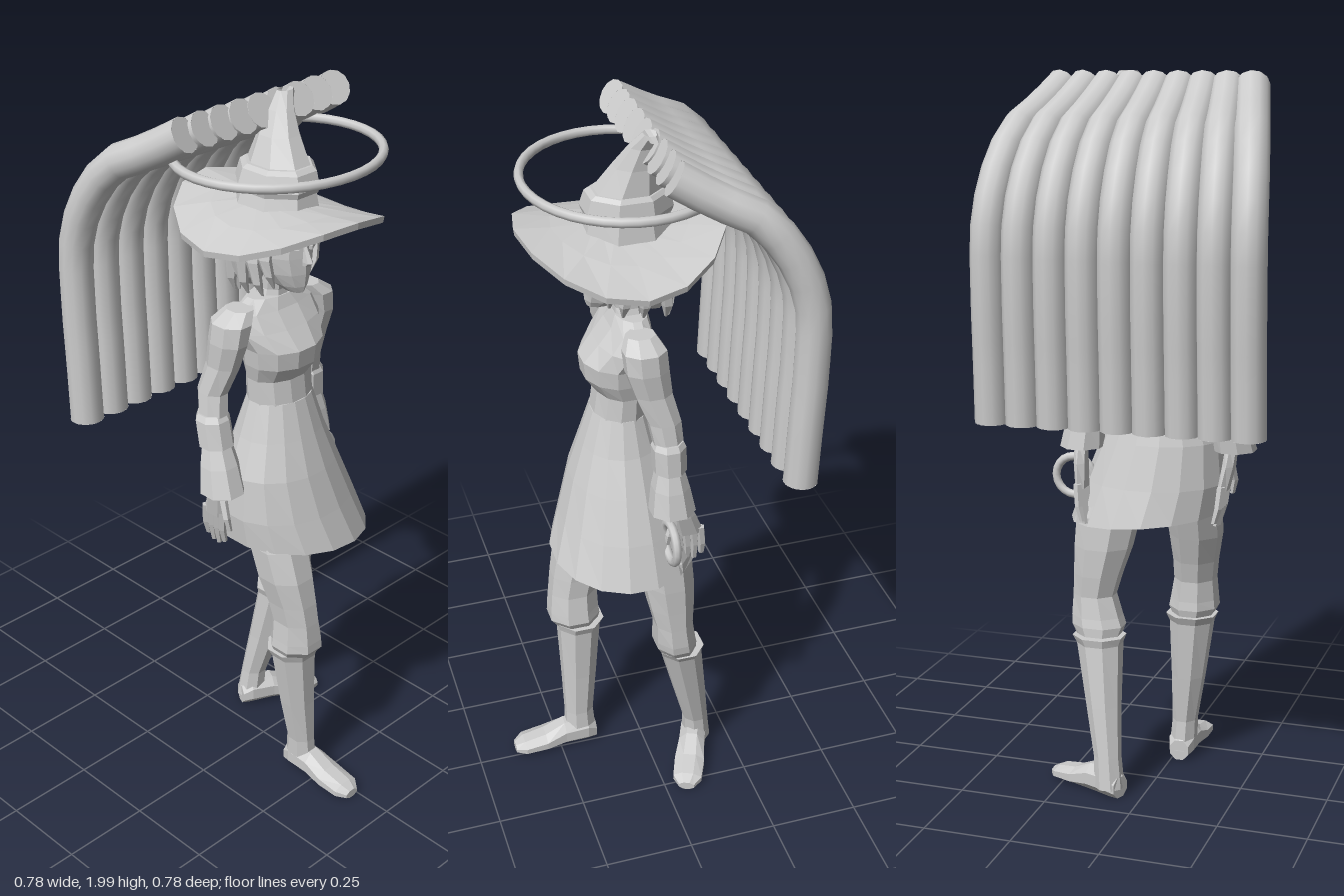
import * as THREE from 'three';

export function createModel() {
  const model = new THREE.Group();
  const clay = new THREE.MeshStandardMaterial({ color: 0xcccccc, side: THREE.DoubleSide });
  clay.name = 'light grey';

  const add = (name, geo, parent = model) => {
    const m = new THREE.Mesh(geo, clay);
    m.name = name;
    parent.add(m);
    return m;
  };
  const faceted = (geo) => {
    const g = geo.index ? geo.toNonIndexed() : geo;
    g.computeVertexNormals();
    return g;
  };

  // Faceted skin over elliptical rings [x, y, z, rx, rz], listed from top to bottom
  function loft(rings, sides = 8, capBottom = true) {
    const pos = [], idx = [];
    for (const [x, y, z, rx, rz] of rings) {
      for (let j = 0; j < sides; j++) {
        const a = ((j + 0.5) / sides) * Math.PI * 2;
        pos.push(x + Math.cos(a) * rx, y, z + Math.sin(a) * rz);
      }
    }
    for (let i = 0; i < rings.length - 1; i++) {
      for (let j = 0; j < sides; j++) {
        const k = (j + 1) % sides;
        const a = i * sides + j, b = i * sides + k, c = a + sides, d = b + sides;
        idx.push(a, b, c, b, d, c);
      }
    }
    const cap = (i, top) => {
      const centre = pos.length / 3;
      pos.push(...rings[i].slice(0, 3));
      for (let j = 0; j < sides; j++) {
        const a = i * sides + j, b = i * sides + ((j + 1) % sides);
        idx.push(centre, ...(top ? [b, a] : [a, b]));
      }
    };
    cap(0, true);
    if (capBottom) cap(rings.length - 1, false);
    const g = new THREE.BufferGeometry();
    g.setAttribute('position', new THREE.Float32BufferAttribute(pos, 3));
    g.setIndex(idx);
    return faceted(g);
  }
  const mirror = (rings, s) => rings.map(([x, ...rest]) => [s * x, ...rest]);

  // Fan of nine thick curved tubes behind the figure: [spacing, y, z] along each tube
  const tubes = new THREE.Group();
  tubes.name = 'backTubes';
  model.add(tubes);
  const arc = [[0.065, 1.957, -0.004], [0.0715, 1.897, -0.105], [0.078, 1.845, -0.207], [0.083, 1.745, -0.287],
    [0.0855, 1.62, -0.335], [0.086, 1.44, -0.342], [0.0862, 1.27, -0.336], [0.0865, 1.1, -0.33]];
  for (let i = -4; i <= 4; i++) {
    const curve = new THREE.CatmullRomCurve3(arc.map(([x, y, z]) => new THREE.Vector3(i * x, y, z)));
    add('tube', new THREE.TubeGeometry(curve, 14, 0.046, 12), tubes);
    for (const t of [0, 1]) {
      const end = add('tubeEnd', new THREE.CircleGeometry(0.046, 12), tubes);
      end.position.copy(curve.getPoint(t));
      const dir = curve.getTangent(t).multiplyScalar(t ? 1 : -1);
      end.lookAt(end.position.clone().add(dir));
    }
  }

  // Halo
  const halo = add('halo', new THREE.TorusGeometry(0.276, 0.013, 8, 40));
  halo.rotation.x = Math.PI / 2;
  halo.scale.y = 0.905;
  halo.position.set(0.002, 1.865, 0.049);

  // Hat: saddle-shaped brim, then a bent crown with a band
  const brim = new THREE.LatheGeometry(
    [[0.3, -0.014], [0.65, -0.014], [0.99, -0.014], [1, 0.004], [0.65, 0.006], [0.3, 0.01]].map((p) => new THREE.Vector2(...p)), 16);
  const bp = brim.attributes.position;
  for (let i = 0; i < bp.count; i++) {
    const u = bp.getX(i), v = bp.getZ(i);
    bp.setXYZ(i, u * 0.262, 1.73 + bp.getY(i) - 0.072 * u * u + 0.02 * v * v - 0.016 * u, 0.055 + v * 0.27);
  }
  add('hatBrim', faceted(brim));
  add('hatCrown', loft([
    [0.1, 1.98, -0.008, 0.012, 0.014], [0.078, 1.995, -0.002, 0.025, 0.018], [0.052, 1.955, 0.01, 0.034, 0.034],
    [0.032, 1.9, 0.022, 0.052, 0.058], [0.018, 1.835, 0.036, 0.072, 0.09], [0.012, 1.8, 0.038, 0.083, 0.105],
    [0.006, 1.71, 0.038, 0.106, 0.128]], 8));
  add('hatBand', loft([
    [0.016, 1.835, 0.037, 0.08, 0.096], [0.014, 1.825, 0.037, 0.09, 0.11],
    [0.01, 1.785, 0.038, 0.1, 0.121], [0.01, 1.77, 0.038, 0.096, 0.116]], 8));

  // Head, nose, eyes and neck
  add('head', loft([
    [0, 1.73, 0.05, 0.06, 0.075], [0, 1.67, 0.055, 0.074, 0.094], [0, 1.61, 0.058, 0.073, 0.094],
    [0, 1.565, 0.07, 0.06, 0.082], [0, 1.53, 0.09, 0.038, 0.058], [0, 1.512, 0.108, 0.02, 0.034]], 10));
  add('nose', loft([
    [0, 1.64, 0.146, 0.007, 0.008], [0, 1.6, 0.158, 0.011, 0.018], [0, 1.59, 0.152, 0.01, 0.01]], 6));
  for (const s of [1, -1]) {
    const eye = add('eye', new THREE.BoxGeometry(0.026, 0.01, 0.009));
    eye.position.set(s * 0.033, 1.632, 0.141);
    eye.rotation.set(0, s * 0.45, s * 0.15);
  }
  add('neck', loft([
    [0, 1.56, 0.04, 0.038, 0.042], [0, 1.5, 0.03, 0.036, 0.042], [0, 1.45, 0.03, 0.055, 0.048]], 8));

  // Bobbed hair with loose locks
  add('hairBack', loft([
    [0, 1.74, 0.02, 0.08, 0.085], [0, 1.66, 0.0, 0.09, 0.09], [0, 1.58, -0.012, 0.088, 0.078],
    [0, 1.53, -0.022, 0.072, 0.06], [0, 1.5, -0.03, 0.05, 0.03]], 10));
  const locks = [[0.068, 0.118, 1.63, -0.012], [0.088, 0.09, 1.53, 0.01], [0.095, 0.055, 1.5, 0.01],
    [0.092, 0.01, 1.49, 0], [0.07, -0.045, 1.475, -0.01], [0.026, -0.072, 1.46, 0]];
  for (const s of [1, -1]) {
    for (const [x, z, tip, drift] of locks) {
      add('hairLock', loft(mirror([
        [x * 0.8, 1.71, z, 0.018, 0.022], [x, (1.7 + tip) / 2, z, 0.016, 0.024],
        [x * 0.92, tip + 0.04, z + drift, 0.013, 0.016], [x * 0.72, tip, z + drift, 0.003, 0.004]], s), 5));
    }
  }

  // Bodice with a full chest above a narrow waist
  add('bodice', loft([
    [0, 1.485, 0.03, 0.08, 0.045], [0, 1.455, 0.035, 0.14, 0.055], [0, 1.41, 0.05, 0.14, 0.075],
    [0, 1.36, 0.068, 0.118, 0.097], [0, 1.31, 0.066, 0.112, 0.094], [0, 1.265, 0.056, 0.1, 0.072],
    [0, 1.19, 0.06, 0.098, 0.078]], 12));

  // Flared, open skirt with a slanting hem
  const skirt = loft([
    [0, 1.2, 0.06, 0.098, 0.078], [0, 1.1, 0.06, 0.13, 0.11], [0.003, 1, 0.062, 0.17, 0.14],
    [0.022, 0.88, 0.064, 0.2, 0.172], [0.048, 0.778, 0.066, 0.218, 0.203]], 16, false);
  const sp = skirt.attributes.position;
  for (let i = 0; i < sp.count; i++) {
    if (sp.getY(i) < 0.8) sp.setY(i, sp.getY(i) - 0.09 * (sp.getX(i) - 0.05));
  }
  add('skirt', faceted(skirt));

  // Arms with flared cuffs and hands; the right forearm reaches forward a little
  for (const [s, reach] of [[1, 0], [-1, 0.085]]) {
    const arm = new THREE.Group();
    arm.name = s > 0 ? 'leftArm' : 'rightArm';
    model.add(arm);
    const limb = (name, rings, sides) => add(name, loft(rings.map(([x, y, z, rx, rz]) =>
      [s * x, y, z + reach * THREE.MathUtils.clamp((1.24 - y) / 0.28, 0, 1), rx, rz]), sides), arm);
    limb('sleeve', [
      [0.12, 1.475, 0.035, 0.035, 0.04], [0.15, 1.445, 0.034, 0.05, 0.06], [0.16, 1.39, 0.03, 0.044, 0.06],
      [0.163, 1.32, 0.014, 0.038, 0.052], [0.176, 1.24, -0.012, 0.038, 0.046], [0.188, 1.15, -0.024, 0.04, 0.04]], 8);
    limb('cuffBand', [
      [0.188, 1.185, -0.02, 0.04, 0.04], [0.19, 1.17, -0.02, 0.048, 0.047], [0.194, 1.1, -0.022, 0.05, 0.046]], 8);
    limb('cuff', [
      [0.194, 1.105, -0.022, 0.042, 0.038], [0.2, 1.05, -0.023, 0.054, 0.052], [0.208, 0.978, -0.026, 0.062, 0.064]], 8);
    limb('palm', [
      [0.205, 0.99, -0.045, 0.018, 0.022], [0.2, 0.94, -0.06, 0.018, 0.036], [0.19, 0.875, -0.08, 0.015, 0.042]], 6);
    for (let f = 0; f < 4; f++) {
      const z = -0.05 - f * 0.021, end = 0.77 + Math.abs(f - 1.4) * 0.012;
      limb('finger', [
        [0.192, 0.89, z, 0.012, 0.012], [0.186, 0.83, z - 0.008, 0.011, 0.011], [0.175, end, z - 0.01, 0.008, 0.008]], 5);
    }
    limb('thumb', [
      [0.2, 0.94, -0.038, 0.012, 0.012], [0.205, 0.89, -0.02, 0.011, 0.01], [0.198, 0.85, -0.015, 0.007, 0.007]], 5);
  }
  // Ring held in the left hand
  const ring = add('handRing', new THREE.TorusGeometry(0.055, 0.012, 8, 20));
  ring.position.set(0.236, 0.888, -0.015);

  // Legs: right leg steps forward, left leg trails; puffed knees above flared boot tops
  const legs = [
    { name: 'rightLeg',
      trouser: [[-0.05, 0.95, 0.08, 0.07, 0.07], [-0.07, 0.79, 0.128, 0.082, 0.085], [-0.07, 0.7, 0.155, 0.077, 0.083],
        [-0.064, 0.62, 0.175, 0.066, 0.076], [-0.06, 0.56, 0.186, 0.062, 0.072], [-0.057, 0.5, 0.188, 0.07, 0.076],
        [-0.056, 0.475, 0.187, 0.074, 0.078], [-0.055, 0.43, 0.175, 0.05, 0.055]],
      boot: [[-0.054, 0.455, 0.171, 0.077, 0.073], [-0.053, 0.432, 0.174, 0.066, 0.064], [-0.042, 0.26, 0.179, 0.05, 0.053],
        [-0.03, 0.12, 0.185, 0.037, 0.044], [-0.025, 0.03, 0.183, 0.04, 0.05]],
      foot: [-0.025, 0.145, 0] },
    { name: 'leftLeg',
      trouser: [[0.08, 0.95, 0.01, 0.07, 0.07], [0.132, 0.79, -0.025, 0.092, 0.078], [0.144, 0.7, -0.034, 0.084, 0.075],
        [0.158, 0.62, -0.041, 0.07, 0.066], [0.167, 0.56, -0.046, 0.062, 0.056], [0.158, 0.5, -0.052, 0.074, 0.06],
        [0.152, 0.475, -0.056, 0.078, 0.062], [0.145, 0.42, -0.072, 0.05, 0.048]],
      boot: [[0.145, 0.45, -0.075, 0.077, 0.069], [0.142, 0.428, -0.078, 0.066, 0.061], [0.12, 0.26, -0.113, 0.05, 0.049],
        [0.1, 0.12, -0.142, 0.039, 0.038], [0.092, 0.03, -0.15, 0.042, 0.042]],
      foot: [0.065, -0.155, 1.15] },
  ];
  // Foot sections from toe to heel: [length, half width, height]
  const sections = [[0.242, 0.022, 0.025], [0.215, 0.042, 0.038], [0.15, 0.044, 0.052], [0.09, 0.038, 0.08], [0.02, 0.038, 0.085], [-0.008, 0.028, 0.06]];
  for (const { name, trouser, boot, foot } of legs) {
    const leg = new THREE.Group();
    leg.name = name;
    model.add(leg);
    add('trouserLeg', loft(trouser, 8), leg);
    add('boot', loft(boot, 8), leg);
    const shape = loft(sections.map(([l, w, h]) => [0, l, -h / 2, w * 1.08, h * 0.54]), 8);
    shape.rotateX(Math.PI / 2);
    const f = add('foot', shape, leg);
    f.position.set(foot[0], 0.003, foot[1]);
    f.rotation.y = foot[2];
  }
  return model;
}
